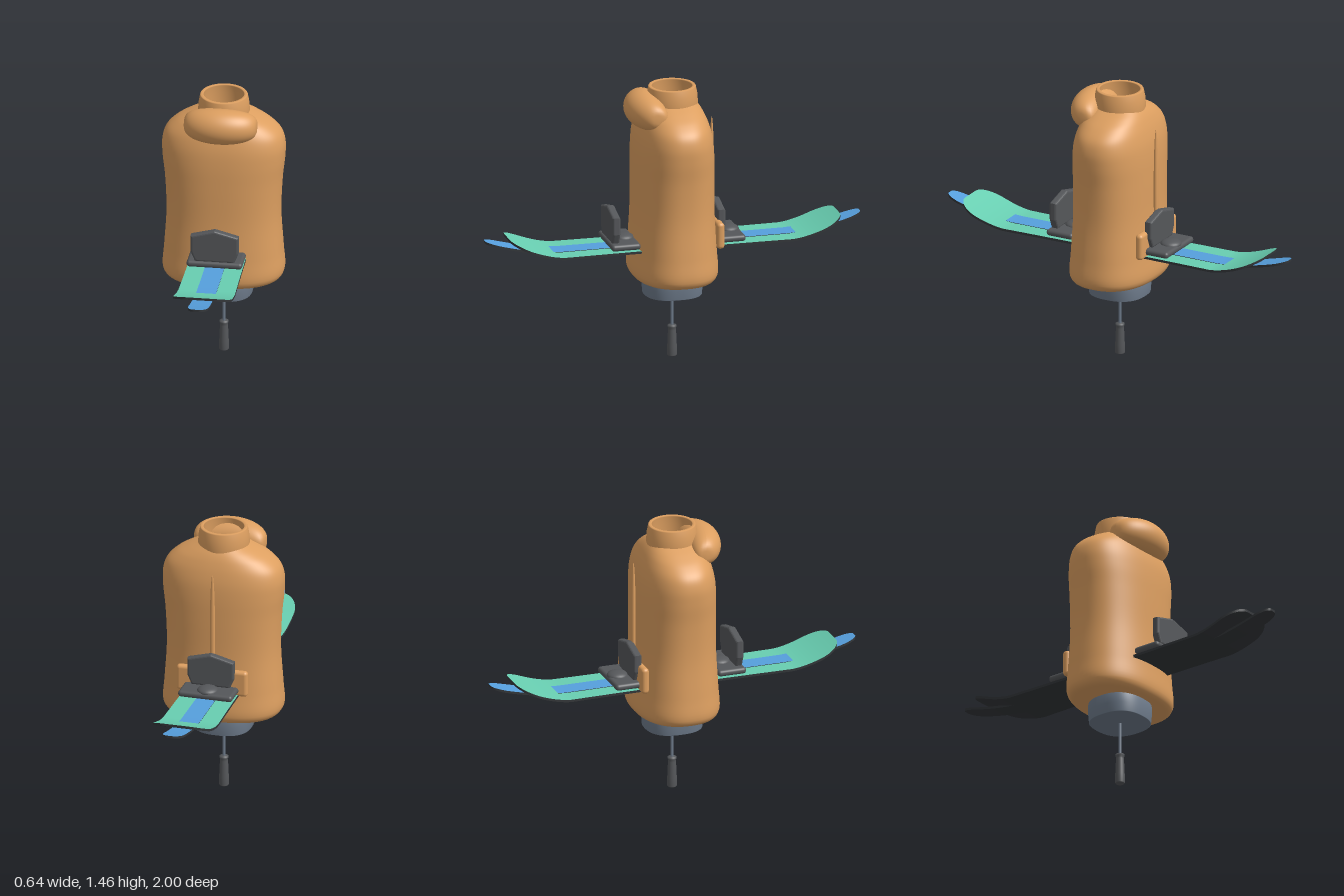
import * as THREE from 'three';
import { RoundedBoxGeometry } from 'three/addons/geometries/RoundedBoxGeometry.js';

const mat = (name, color, side = THREE.FrontSide) => {
  const m = new THREE.MeshStandardMaterial({ color, side });
  m.name = name;
  return m;
};

// Skin over superellipse rings, each [y, half width, half depth]
function loft(rings, power, sides = 72) {
  const pos = [], index = [];
  const se = (v) => Math.sign(v) * Math.pow(Math.abs(v), 2 / power);
  rings.forEach(([y, rx, rz], r) => {
    for (let j = 0; j < sides; j++) {
      const a = (j / sides) * Math.PI * 2;
      pos.push(rx * se(Math.cos(a)), y, rz * se(Math.sin(a)));
      if (r === rings.length - 1) continue;
      const k = (j + 1) % sides, b = r * sides, t = b + sides;
      index.push(b + j, t + j, b + k, b + k, t + j, t + k);
    }
  });
  const g = new THREE.BufferGeometry();
  g.setAttribute('position', new THREE.Float32BufferAttribute(pos, 3));
  g.setIndex(index);
  g.computeVertexNormals();
  return g;
}

const smoothRings = (rings, n) =>
  new THREE.CatmullRomCurve3(rings.map((r) => new THREE.Vector3(...r)), false, 'centripetal')
    .getPoints(n).map((p) => [p.x, p.y, p.z]);

const lathe = (pts, sides = 32) =>
  new THREE.LatheGeometry(pts.map(([r, y]) => new THREE.Vector2(r, y)), sides);

// Long board with rounded, upturned tips
function board({ length, waist, flare, tip, tipWidth, bottom, thick, bend, rise }) {
  const g = new THREE.BoxGeometry(2, 1, 2, 4, 1, 120);
  const p = g.attributes.position;
  for (let i = 0; i < p.count; i++) {
    const t = p.getZ(i);
    const z = length * Math.sin((t * Math.PI) / 2);
    const d = Math.abs(z);
    let w = waist + flare * (d / length) ** 2;
    const e = Math.max(0, (d - (length - tip)) / tip);
    w = tipWidth + (w - tipWidth) * Math.sqrt(Math.max(0, 1 - e * e));
    const u = Math.max(0, (d - bend) / (length - bend));
    p.setXYZ(i, p.getX(i) * w, bottom + (p.getY(i) + 0.5) * thick + rise * u ** 1.6, z);
  }
  g.computeVertexNormals();
  return g;
}

export function createModel() {
  const root = new THREE.Group();
  const orange = mat('orange cloth', 0xdd9f60, THREE.DoubleSide);
  const slate = mat('slate', 0x6e7b8b);
  const green = mat('mint green', 0x68ceb1);
  const blue = mat('sky blue', 0x569fdd);
  const dark = mat('dark base', 0x333639);
  const grey = mat('dark grey', 0x55575a);

  const add = (name, geometry, material, parent = root, x = 0, y = 0, z = 0) => {
    const m = new THREE.Mesh(geometry, material);
    m.name = name;
    m.position.set(x, y, z);
    parent.add(m);
    return m;
  };

  // Torso, closed under the hem and open at the neck
  add('torso', loft(smoothRings([
    [0.45, 0.12, 0.11], [0.436, 0.25, 0.18], [0.448, 0.295, 0.208], [0.48, 0.314, 0.222],
    [0.6, 0.308, 0.216], [0.8, 0.296, 0.205], [1.0, 0.304, 0.203], [1.12, 0.317, 0.2],
    [1.2, 0.318, 0.192], [1.26, 0.3, 0.178], [1.31, 0.25, 0.16], [1.345, 0.19, 0.142],
    [1.375, 0.125, 0.12],
  ], 72), 2.35), orange);

  // Neck tube with a rim and an inner wall
  add('neck', lathe([
    [0.128, 1.32], [0.134, 1.37], [0.13, 1.42], [0.123, 1.455], [0.12, 1.46],
    [0.106, 1.46], [0.104, 1.455], [0.112, 1.41], [0.112, 1.33],
  ], 48), orange);

  // Soft roll in front of the neck
  const roll = new THREE.SphereGeometry(1, 48, 32);
  const rp = roll.attributes.position;
  for (let i = 0; i < rp.count; i++) {
    const x = rp.getX(i), k = Math.pow(Math.max(0, 1 - x * x), -0.2);
    const s = Math.abs(x) > 0.999 ? 1 : k;
    rp.setXYZ(i, x * 0.19, rp.getY(i) * s * 0.093 - 0.008 * x * x, rp.getZ(i) * s * 0.095 - 0.035 * x * x);
  }
  roll.computeVertexNormals();
  add('neckRoll', roll, orange, root, 0, 1.345, 0.155);

  // Back strap and the tapering spine above it
  add('backStrap', new RoundedBoxGeometry(0.38, 0.14, 0.04, 5, 0.018), orange, root, 0, 0.68, -0.212);
  const spine = add('backSpine', new THREE.SphereGeometry(1, 16, 32), orange, root, 0, 0.94, -0.212);
  spine.scale.set(0.014, 0.33, 0.012);

  // Hips
  add('hips', loft([
    [0.34, 0.001, 0.001], [0.34, 0.12, 0.12], [0.34, 0.147, 0.147], [0.342, 0.149, 0.15], [0.39, 0.155, 0.153],
    [0.44, 0.157, 0.15], [0.5, 0.14, 0.135], [0.53, 0.1, 0.1], [0.535, 0.001, 0.001],
  ], 2.5), slate);

  // Upside-down pole: grip below, basket inside the torso
  const pole = new THREE.Group();
  pole.name = 'pole';
  root.add(pole);
  add('poleShaft', new THREE.CylinderGeometry(0.009, 0.009, 0.99, 16), slate, pole, 0, 0.645, 0);
  add('poleGrip', lathe([
    [0, 0], [0.022, 0], [0.025, 0.004], [0.025, 0.05], [0.021, 0.138], [0.019, 0.146],
    [0.023, 0.154], [0.023, 0.164], [0.009, 0.167], [0, 0.167],
  ], 24), grey, pole);
  add('poleBasket', new THREE.CylinderGeometry(0.055, 0.055, 0.012, 24), dark, pole, 0, 1.05, 0);

  // Boards: coloured top, dark sides and base
  const faces = (top) => [dark, dark, top, dark, dark, dark];
  add('snowboard', board({
    length: 0.88, waist: 0.142, flare: 0.013, tip: 0.12, tipWidth: 0.055,
    bottom: 0.608, thick: 0.013, bend: 0.6, rise: 0.09,
  }), faces(green));
  add('ski', board({
    length: 1.0, waist: 0.05, flare: 0.004, tip: 0.09, tipWidth: 0.012,
    bottom: 0.611, thick: 0.0125, bend: 0.6, rise: 0.078,
  }), faces(blue));

  // Bindings: foot plate, strap and high back
  const backShape = new THREE.Shape([
    [-0.095, 0], [0.095, 0], [0.114, 0.045], [0.114, 0.125], [0, 0.155], [-0.114, 0.125], [-0.114, 0.045],
  ].map(([x, y]) => new THREE.Vector2(x, y)));
  const backGeo = new THREE.ExtrudeGeometry(backShape, {
    depth: 0.02, bevelEnabled: true, bevelThickness: 0.011, bevelSize: 0.011, bevelSegments: 3,
  });
  for (const z of [0.28, -0.28]) {
    const binding = new THREE.Group();
    binding.name = z > 0 ? 'frontBinding' : 'rearBinding';
    binding.position.z = z;
    root.add(binding);
    add('footPlate', new RoundedBoxGeometry(0.29, 0.034, 0.155, 5, 0.016), grey, binding, 0, 0.645, 0);
    const strap = add('strap', new THREE.SphereGeometry(1, 24, 16), grey, binding, 0, 0.66, -0.02);
    strap.scale.set(0.055, 0.024, 0.055);
    add('highBack', backGeo, grey, binding, 0, 0.67, 0.038);
  }
  return root;
}
